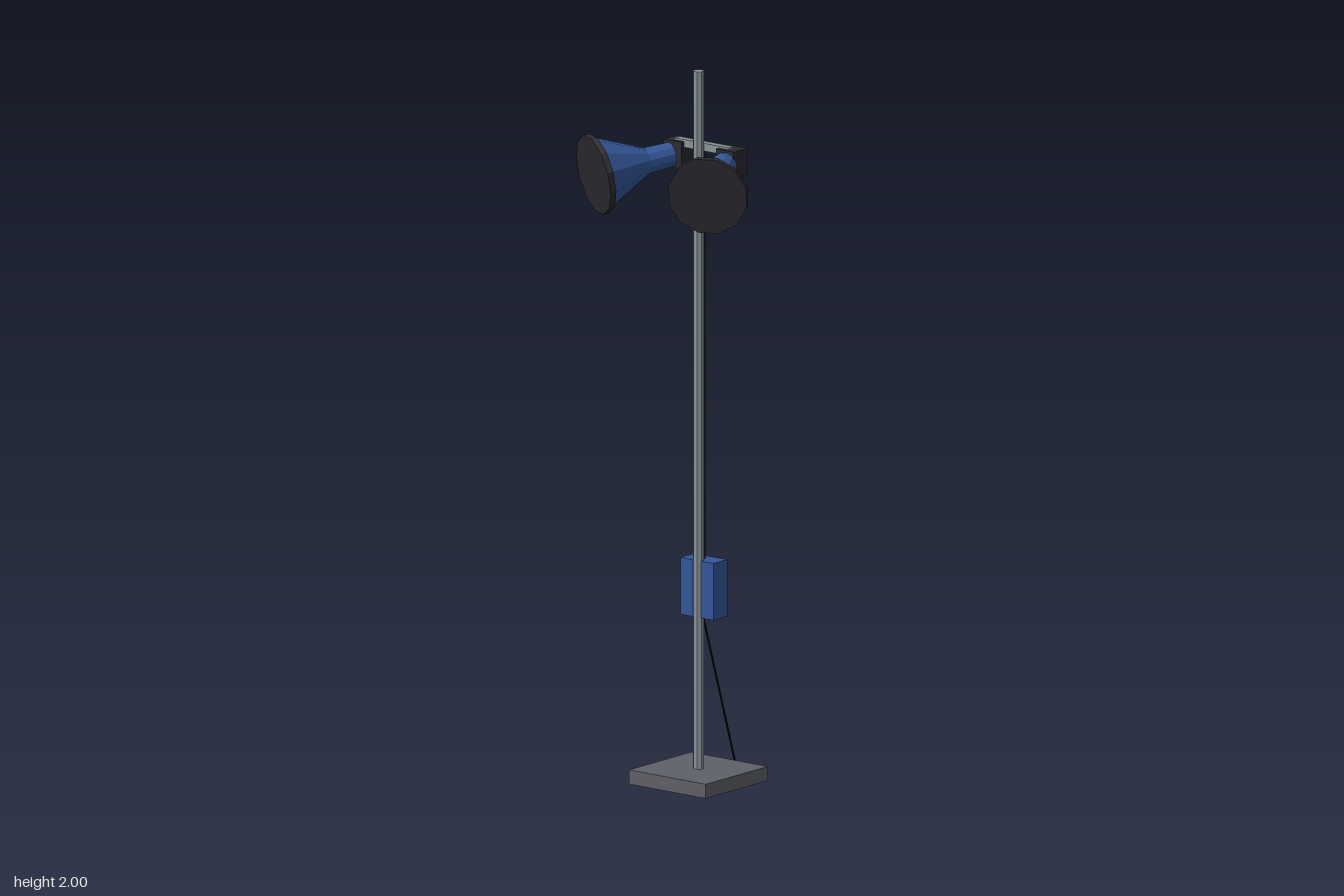
import * as THREE from 'three';

const material = (name, color) => {
  const m = new THREE.MeshStandardMaterial({ color });
  m.name = name;
  return m;
};

export function createModel() {
  const model = new THREE.Group();
  model.name = 'floorLamp';

  const blue = material('blue', 0x335799);
  const steel = material('steel', 0x8a9498);
  const baseGrey = material('baseGrey', 0x5e6167);
  const dark = material('dark', 0x2a2a30);
  const black = material('black', 0x141416);

  // Adds a faceted mesh
  const add = (parent, name, geometry, mat, x = 0, y = 0, z = 0) => {
    const g = geometry.index ? geometry.toNonIndexed() : geometry;
    g.computeVertexNormals();
    const mesh = new THREE.Mesh(g, mat);
    mesh.name = name;
    mesh.position.set(x, y, z);
    parent.add(mesh);
    return mesh;
  };
  const box = (w, h, d) => new THREE.BoxGeometry(w, h, d);
  // Lathe turned so that its axis runs along +z
  const turned = (profile) => new THREE.LatheGeometry(
    profile.map(([r, z]) => new THREE.Vector2(r, z)), 12, Math.PI / 12).rotateX(Math.PI / 2);

  // Stand
  const poleZ = -0.057;
  add(model, 'base', box(0.27, 0.04, 0.27), baseGrey, 0, 0.02, -0.056);
  const pole = new THREE.CylinderGeometry(0.016, 0.016, 1.96, 8).rotateY(Math.PI / 8);
  add(model, 'pole', pole, steel, 0, 1.02, poleZ);
  add(model, 'crossbar', box(0.19, 0.022, 0.022), steel, 0, 1.784, -0.081);

  // Control box and power cable
  add(model, 'controlBox', box(0.116, 0.16, 0.06), blue, 0, 0.545, -0.08);
  const cable = (name, from, to) => {
    const path = new THREE.LineCurve3(new THREE.Vector3(...from), new THREE.Vector3(...to));
    add(model, name, new THREE.TubeGeometry(path, 1, 0.003, 6), black);
  };
  cable('upperCable', [0, 1.78, -0.083], [0, 0.62, -0.083]);
  cable('lowerCable', [0, 0.48, -0.071], [0.014, 0.003, -0.208]);

  // Mirrored lamp heads, turned outward and tipped down
  for (const side of [-1, 1]) {
    const label = side > 0 ? 'left' : 'right';
    add(model, label + 'Mount', box(0.062, 0.075, 0.061), dark, side * 0.092, 1.752, -0.088);

    const head = new THREE.Group();
    head.name = label + 'LampHead';
    head.position.set(side * 0.093, 1.752, -0.055);
    head.rotation.set(0.155, side * 0.48, 0, 'YXZ');
    model.add(head);

    add(head, 'shade', turned([
      [0, 0], [0.034, 0], [0.037, 0.077], [0.106, 0.222],
    ]), blue);
    add(head, 'rim', turned([
      [0.104, 0.219], [0.112, 0.219], [0.112, 0.236], [0, 0.236],
    ]), dark);
  }
  return model;
}
